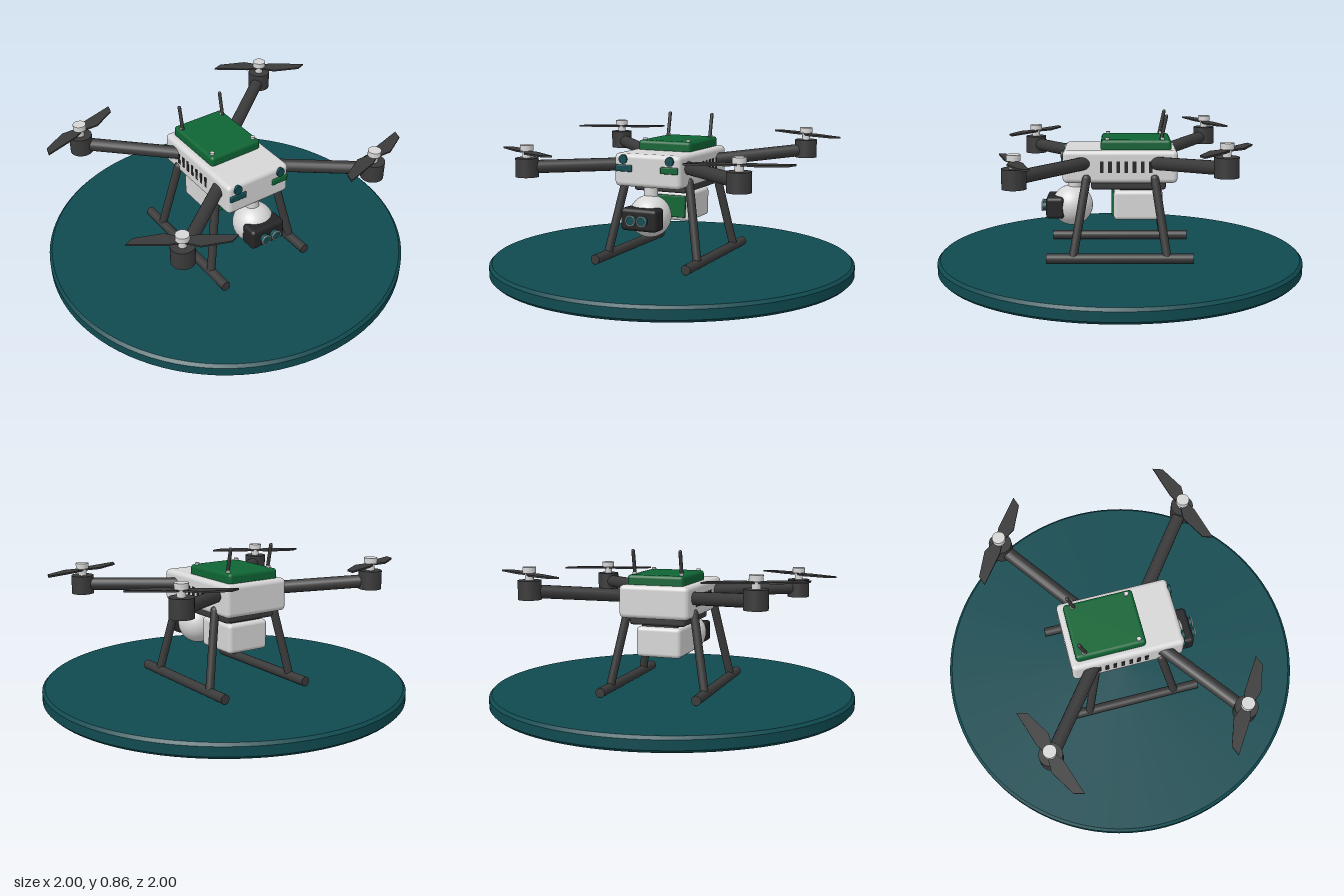
import * as THREE from 'three';
import { RoundedBoxGeometry } from 'three/addons/geometries/RoundedBoxGeometry.js';
import { toCreasedNormals } from 'three/addons/utils/BufferGeometryUtils.js';

const paint = (name, color) => {
  const m = new THREE.MeshStandardMaterial({ color });
  m.name = name;
  return m;
};

export function createModel() {
  const light = paint('light grey', 0xd6d6d6);
  const dark = paint('dark grey', 0x3a3a3a);
  const black = paint('charcoal', 0x242426);
  const teal = paint('teal', 0x0f4a50);
  const green = paint('green', 0x0e6434);

  const model = new THREE.Group();
  model.name = 'quadcopter';

  const add = (name, geometry, material, x = 0, y = 0, z = 0, parent = model) => {
    const mesh = new THREE.Mesh(geometry, material);
    mesh.name = name;
    mesh.position.set(x, y, z);
    parent.add(mesh);
    return mesh;
  };
  const box = (w, h, d, r) => new RoundedBoxGeometry(w, h, d, 3, r);
  const cyl = (r, h, n = 24) => new THREE.CylinderGeometry(r, r, h, n);
  // Round-ended rod running between two points
  const rod = (name, a, b, r, material) => {
    const from = new THREE.Vector3(...a), to = new THREE.Vector3(...b);
    const dir = to.clone().sub(from);
    const mesh = add(name, new THREE.CapsuleGeometry(r, dir.length(), 6, 16), material);
    mesh.position.copy(from).add(to).multiplyScalar(0.5);
    mesh.quaternion.setFromUnitVectors(new THREE.Vector3(0, 1, 0), dir.normalize());
    return mesh;
  };

  // Landing pad with chamfered rim
  const rim = [[0, 0], [0.985, 0], [1, 0.015], [1, 0.065], [0.985, 0.08], [0, 0.08]];
  const pad = new THREE.LatheGeometry(rim.map(p => new THREE.Vector2(...p)), 96);
  add('landingPad', toCreasedNormals(pad, 0.4), teal);

  // Body shell, belly plate and battery
  add('body', box(0.385, 0.175, 0.61, 0.025), light, 0, 0.587, 0);
  add('bellyPlate', box(0.31, 0.06, 0.4, 0.015), dark, 0, 0.488, -0.045);
  add('battery', box(0.31, 0.065, 0.375, 0.018), green, 0, 0.694, -0.085);

  for (const s of [-1, 1]) {
    // Battery screws and rear antennas
    for (const z of [0.067, -0.225]) add('batteryScrew', cyl(0.012, 0.016, 12), light, s * 0.13, 0.729, z);
    rod('antenna', [s * 0.13, 0.72, -0.217], [s * 0.13, 0.85, -0.245], 0.0095, dark);

    // Cooling slots along each side
    for (let i = 0; i < 7; i++)
      add('coolingSlot', new THREE.BoxGeometry(0.008, 0.062, 0.019), black, s * 0.191, 0.588, 0.096 - i * 0.043);

    // Front sensors and navigation lights
    add('frontSensor', cyl(0.024, 0.02), teal, s * 0.135, 0.645, 0.304).rotation.x = Math.PI / 2;
    add('navigationLight', box(0.098, 0.036, 0.024, 0.006), s < 0 ? teal : green, s * 0.132, 0.598, 0.302);

    // Landing gear: skid and two splayed legs
    add('skid', cyl(0.026, 0.78), dark, s * 0.265, 0.11, 0).rotation.x = Math.PI / 2;
    rod('frontLeg', [s * 0.265, 0.12, 0.248], [s * 0.187, 0.525, 0.178], 0.023, dark);
    rod('rearLeg', [s * 0.265, 0.12, -0.248], [s * 0.187, 0.525, -0.184], 0.023, dark);
  }

  // Propeller blade outline, extruded thin and laid flat
  const outline = [[0, -0.018], [0.07, -0.032], [0.265, -0.022], [0.232, 0.022], [0.085, 0.05], [0, 0.018]];
  const bladeShape = new THREE.Shape(outline.map(([u, v]) => new THREE.Vector2(u, -v)));
  const blade = new THREE.ExtrudeGeometry(bladeShape, { depth: 0.009, bevelEnabled: false });
  blade.rotateX(-Math.PI / 2);

  // Arms with motors and propellers: side, end, lift, blade direction in x and z
  const rotors = [[1, 1, 0, 44, -14], [-1, 1, 0, 44, 27], [1, -1, 0.056, 39, 26], [-1, -1, 0.056, 46, -18]];
  for (const [sx, sz, lift, dx, dz] of rotors) {
    const x = sx * 0.598, z = sz * 0.512;
    rod(sz > 0 ? 'frontArm' : 'rearArm', [sx * 0.172, 0.605, sz * 0.188], [x, 0.602 + lift * 0.85, z], 0.035, dark);

    const rotor = new THREE.Group();
    rotor.name = 'rotor';
    rotor.position.set(x, 0.55 + lift, z);
    model.add(rotor);
    add('motor', cyl(0.061, 0.1, 32), dark, 0, 0.05, 0, rotor);
    add('shaft', cyl(0.022, 0.04), light, 0, 0.114, 0, rotor);
    add('hubCap', cyl(0.035, 0.03), light, 0, 0.153, 0, rotor);
    for (const turn of [0, Math.PI])
      add('propellerBlade', blade, dark, 0, 0.127, 0, rotor).rotation.y = Math.atan2(-dz, dx) + turn;
  }

  // Cargo pod under the belly
  add('podMount', new THREE.BoxGeometry(0.2, 0.05, 0.2), dark, 0, 0.455, -0.1);
  add('cargoPod', box(0.25, 0.162, 0.265, 0.022), light, 0, 0.365, -0.098);
  add('podFrontPlate', box(0.2, 0.12, 0.02, 0.006), green, 0, 0.365, 0.036);

  // Camera gimbal
  add('gimbalNeck', cyl(0.037, 0.11), light, 0, 0.465, 0.25);
  add('gimbalBall', new THREE.SphereGeometry(0.112, 40, 28), light, 0, 0.347, 0.262);
  add('cameraHousing', box(0.208, 0.118, 0.1, 0.02), black, 0, 0.345, 0.352);
  for (const s of [-1, 1]) {
    add('lensBarrel', cyl(0.026, 0.03), teal, s * 0.032, 0.345, 0.413).rotation.x = Math.PI / 2;
    add('lensRing', new THREE.TorusGeometry(0.026, 0.0035, 8, 28), light, s * 0.032, 0.345, 0.426);
  }

  return model;
}
